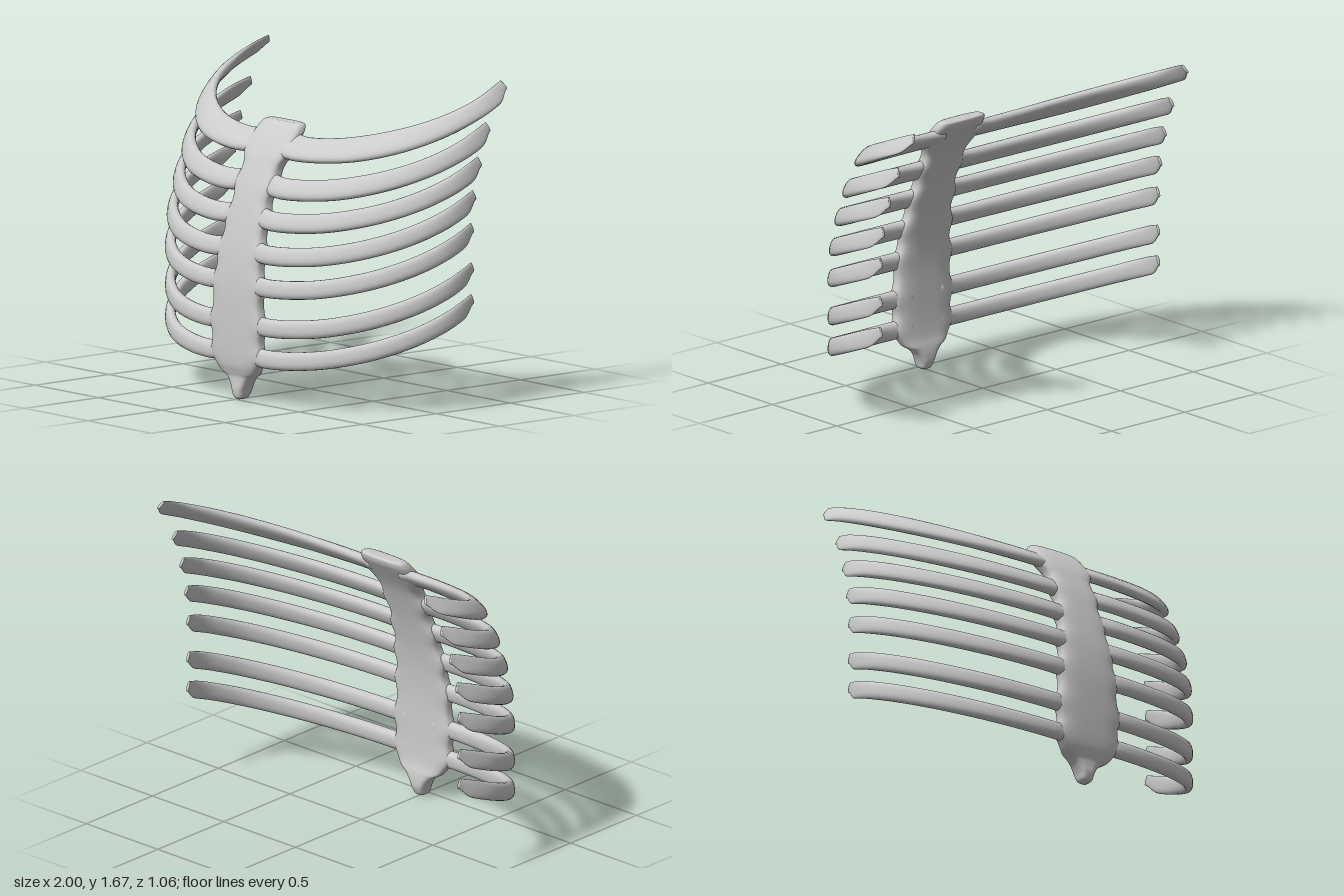
import * as THREE from 'three';

const material = new THREE.MeshStandardMaterial({ color: 0xcccccc, roughness: 0.8 });
const { lerp, smoothstep } = THREE.MathUtils;

// Rounded-rectangle style ring: offsets along two axes
function superellipse(a, b, exponent, segments) {
  const f = v => Math.sign(v) * Math.pow(Math.abs(v), 2 / exponent);
  return Array.from({ length: segments }, (_, i) => {
    const t = (i / segments) * Math.PI * 2;
    return [a * f(Math.cos(t)), b * f(Math.sin(t))];
  });
}

// Skin a list of rings (arrays of Vector3) and close both ends
function loft(rings, flip = false) {
  const n = rings[0].length;
  const positions = [];
  const index = [];
  const tri = (a, b, c) => (flip ? index.push(a, c, b) : index.push(a, b, c));
  rings.forEach(ring => ring.forEach(p => positions.push(p.x, p.y, p.z)));
  for (let i = 0; i < rings.length - 1; i++) {
    for (let j = 0; j < n; j++) {
      const k = (j + 1) % n;
      const a = i * n + j, b = i * n + k, c = b + n, d = a + n;
      tri(a, b, c);
      tri(a, c, d);
    }
  }
  [0, rings.length - 1].forEach(i => {
    const centre = new THREE.Vector3();
    rings[i].forEach(p => centre.addScaledVector(p, 1 / n));
    const c = positions.length / 3;
    positions.push(centre.x, centre.y, centre.z);
    for (let j = 0; j < n; j++) {
      const a = i * n + j, b = i * n + (j + 1) % n;
      if (i === 0) tri(c, b, a);
      else tri(c, a, b);
    }
  });
  const geometry = new THREE.BufferGeometry();
  geometry.setAttribute('position', new THREE.Float32BufferAttribute(positions, 3));
  geometry.setIndex(index);
  geometry.computeVertexNormals();
  return geometry;
}

// Each rib: height at the sternum, shift in z, rise towards the back,
// inward lean and half height of the blade, reach in x
const RIBS = [
  { y: 1.305, dz: -0.232, rise: 0.425, lean: 0.95, half: 0.08, reach: 0.985 },
  { y: 1.11, dz: -0.118, rise: 0.41, lean: 0.6, half: 0.058, reach: 0.99 },
  { y: 0.945, dz: -0.056, rise: 0.4, lean: 0.45, half: 0.052, reach: 0.995 },
  { y: 0.775, dz: -0.015, rise: 0.4, lean: 0.32, half: 0.05, reach: 1 },
  { y: 0.605, dz: 0, rise: 0.4, lean: 0.2, half: 0.048, reach: 1 },
  { y: 0.4, dz: 0, rise: 0.4, lean: 0.1, half: 0.048, reach: 1 },
  { y: 0.235, dz: 0, rise: 0.4, lean: 0.1, half: 0.048, reach: 1 },
];

// Shared plan curve of a rib (x, z), from inside the sternum to the tip
const PLAN = [
  [0.09, 0.46], [0.2, 0.483], [0.4, 0.46], [0.6, 0.392], [0.8, 0.255],
  [0.925, 0.09], [0.974, -0.07], [0.972, -0.19], [0.947, -0.293],
];

function ribGeometry({ y, dz, rise, lean, half, reach }, side) {
  const curve = new THREE.CatmullRomCurve3(
    PLAN.map(([x, z]) => new THREE.Vector3(x * reach, y + rise * (0.485 - z), z + dz)));
  const steps = 48;
  const rings = [];
  const up = new THREE.Vector3(0, 1, 0);
  for (let i = 0; i <= steps; i++) {
    // closer spacing towards the tip
    const t = 1 - Math.pow(1 - i / steps, 1.5);
    const p = curve.getPointAt(t);
    const tangent = curve.getTangentAt(t);
    const out0 = tangent.clone().cross(up).normalize();
    const up0 = out0.clone().cross(tangent);
    const angle = lean * (1 - 0.4 * t);
    const bladeUp = up0.clone().multiplyScalar(Math.cos(angle)).addScaledVector(out0, -Math.sin(angle));
    const bladeOut = out0.clone().multiplyScalar(Math.cos(angle)).addScaledVector(up0, Math.sin(angle));
    // the lower edge sweeps up to the upper edge at the tip
    const full = lerp(half, 0.047, smoothstep(t, 0.3, 0.95));
    const height = full * (1 - 0.42 * Math.pow(smoothstep(t, 0.9, 1), 2));
    p.addScaledVector(bladeUp, (full - height) * 0.75);
    const thickness = 0.032 - 0.01 * t - 0.015 * smoothstep(t, 0.75, 1);
    rings.push(superellipse(height, thickness, 2.4, 18).map(([a, b]) => {
      const v = p.clone().addScaledVector(bladeUp, a).addScaledVector(bladeOut, b);
      v.x *= side;
      return v;
    }));
  }
  return loft(rings, side < 0);
}

// Sternum sections: y, half width, back z, front z
const STERNUM = [
  [0.0, 0.012, 0.445, 0.485], [0.012, 0.03, 0.425, 0.498], [0.05, 0.043, 0.407, 0.506],
  [0.09, 0.065, 0.405, 0.504], [0.12, 0.095, 0.408, 0.504], [0.14, 0.13, 0.412, 0.51],
  [0.18, 0.155, 0.422, 0.522], [0.25, 0.172, 0.428, 0.528], [0.4, 0.18, 0.43, 0.53],
  [0.6, 0.167, 0.425, 0.524], [0.78, 0.15, 0.4, 0.5], [0.95, 0.13, 0.355, 0.458],
  [1.1, 0.122, 0.3, 0.41], [1.2, 0.13, 0.255, 0.365], [1.26, 0.148, 0.22, 0.335],
  [1.34, 0.15, 0.165, 0.28], [1.385, 0.154, 0.135, 0.24], [1.412, 0.143, 0.128, 0.212],
  [1.42, 0.125, 0.138, 0.195],
];

function sternumGeometry() {
  const edge = column => new THREE.CatmullRomCurve3(
    STERNUM.map(s => new THREE.Vector3(s[1], s[0], s[column])), false, 'centripetal');
  const backEdge = edge(2);
  const frontEdge = edge(3);
  const steps = (STERNUM.length - 1) * 6;
  const rings = [];
  for (let i = 0; i <= steps; i++) {
    const back = backEdge.getPoint(i / steps);
    const front = frontEdge.getPoint(i / steps);
    // edge swells into a socket where each rib joins
    const swell = RIBS.reduce((s, r) => s + 0.024 * Math.exp(-(((back.y - r.y) / 0.05) ** 2)), 0);
    const y = (back.y + front.y) / 2;
    const z = (back.z + front.z) / 2;
    rings.push(superellipse((front.z - back.z) / 2, back.x + swell, 3.2, 40)
      .map(([a, b]) => new THREE.Vector3(b, y, z + a)));
  }
  return loft(rings);
}

export function createModel() {
  const model = new THREE.Group();
  model.name = 'ribcage';

  const sternum = new THREE.Mesh(sternumGeometry(), material);
  sternum.name = 'sternum';
  model.add(sternum);

  // Seven mirrored pairs of ribs
  RIBS.forEach((rib, i) => {
    for (const side of [1, -1]) {
      const mesh = new THREE.Mesh(ribGeometry(rib, side), material);
      mesh.name = `${side > 0 ? 'left' : 'right'}Rib${i + 1}`;
      model.add(mesh);
    }
  });
  return model;
}
